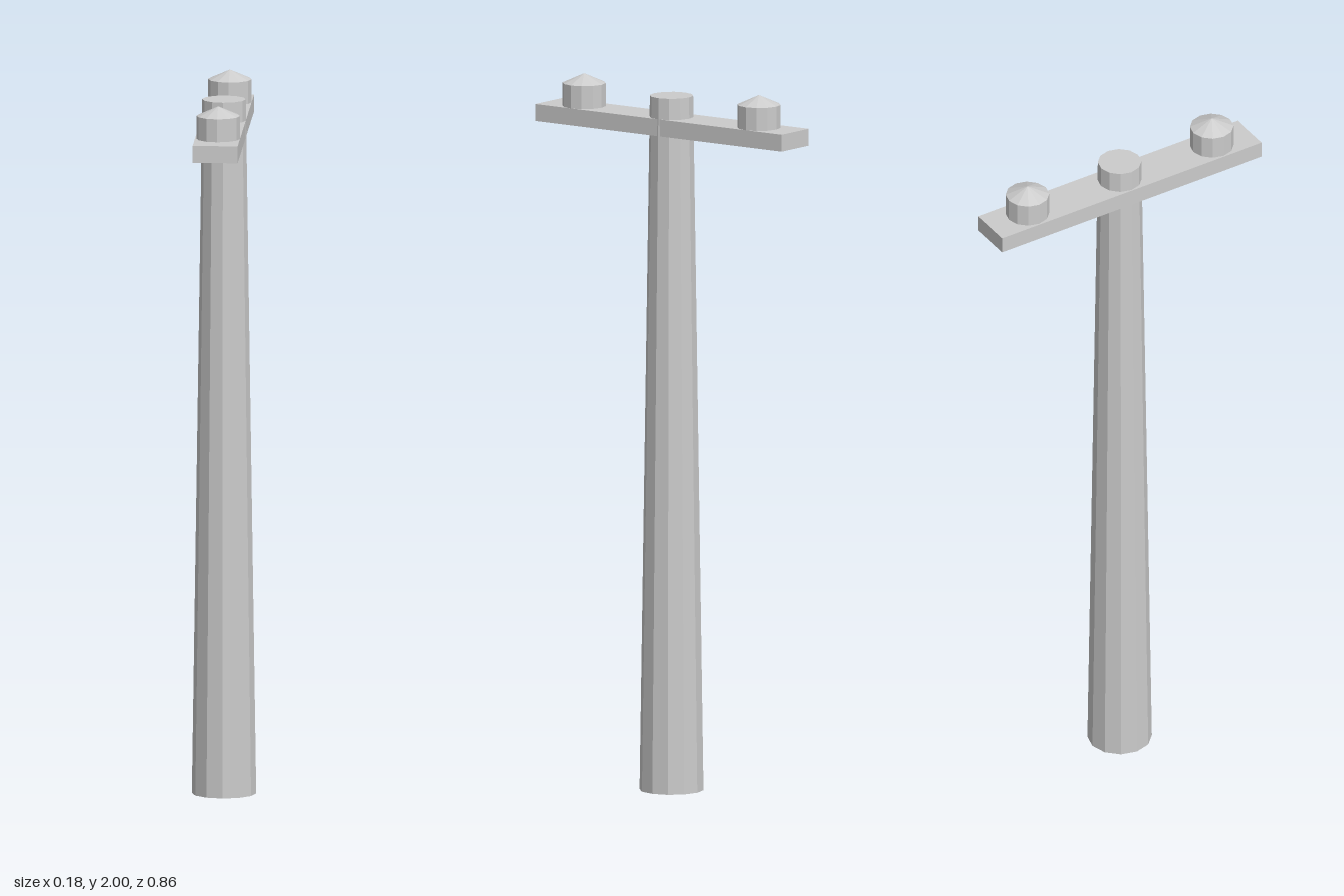
import * as THREE from 'three';

const SIDES = 12;

export function createModel() {
  const model = new THREE.Group();
  model.name = 'utilityPole';
  const solid = new THREE.MeshStandardMaterial({ color: 0xcccccc, flatShading: true });
  const open = new THREE.MeshStandardMaterial({ color: 0xcccccc, flatShading: true, side: THREE.DoubleSide });

  const add = (name, geometry, material, x, y, z, parent = model) => {
    const mesh = new THREE.Mesh(geometry, material);
    mesh.name = name;
    mesh.position.set(x, y, z);
    parent.add(mesh);
  };

  // Tapered pole: open at the foot, closed by a flat disc on top
  const poleTop = 1.968;
  const topRadius = 0.061;
  add('pole', new THREE.CylinderGeometry(topRadius, 0.09, poleTop, SIDES, 1, true), open, 0, poleTop / 2, 0);
  add('poleTop', new THREE.CircleGeometry(topRadius, SIDES).rotateX(-Math.PI / 2), open, 0, poleTop, 0);

  // Crossarm running front to back
  const armBottom = 1.86;
  const armTop = 1.908;
  add('crossarm', new THREE.BoxGeometry(0.126, armTop - armBottom, 0.86), solid, -0.002, (armBottom + armTop) / 2, 0);

  // Insulator with a shallow pointed cap near each end of the crossarm
  const rim = 1.973;
  const radius = 0.061;
  for (const side of [1, -1]) {
    const insulator = new THREE.Group();
    insulator.name = side > 0 ? 'frontInsulator' : 'backInsulator';
    insulator.position.z = side * 0.305;
    add('insulatorBody', new THREE.CylinderGeometry(radius, radius, rim - armTop, SIDES, 1, true), open, 0, (rim + armTop) / 2, 0, insulator);
    add('insulatorCap', new THREE.ConeGeometry(radius, 2 - rim, SIDES, 1, true), open, 0, (rim + 2) / 2, 0, insulator);
    model.add(insulator);
  }

  return model;
}
